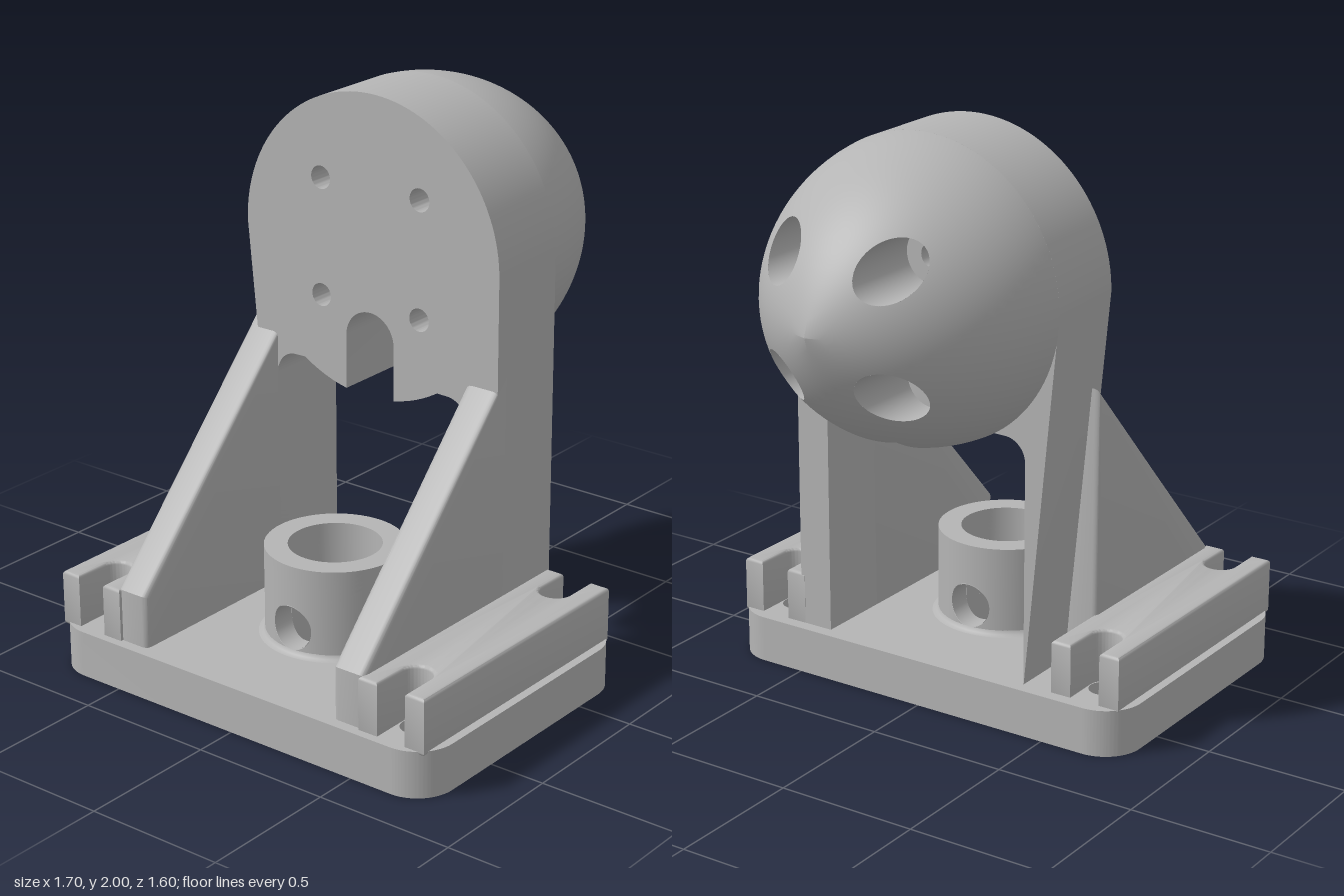
import * as THREE from 'three';
import { toCreasedNormals } from 'three/addons/utils/BufferGeometryUtils.js';

const R = 0.525, CY = 1.475;          // head radius and axis height
const HOLE = 0.205, BORE = 0.095, PIN = 0.04, FLOOR = 0.45;
const SLOT = 0.1, SLOT_Y = 1.15, SLOT_END = 0.5;
const PLATE = 0.165, COLLAR_X = -0.3;

// Nose profile: x for a distance r from the axis, and the reverse
const noseX = r => 0.15 + Math.sqrt(Math.max(0, 0.722 ** 2 - (r + 0.195) ** 2));
const noseR = x => Math.sqrt(0.722 ** 2 - (x - 0.15) ** 2) - 0.195;

export function createModel() {
  const group = new THREE.Group();
  const grey = new THREE.MeshStandardMaterial({ color: 0xb4b4b4, side: THREE.DoubleSide });
  grey.name = 'plain grey';

  const add = (name, geo, x = 0, y = 0, z = 0) => {
    const mesh = new THREE.Mesh(geo, grey);
    mesh.name = name;
    mesh.position.set(x, y, z);
    group.add(mesh);
    return mesh;
  };
  const extrude = (shape, depth, bevel = 0) => {
    const geo = new THREE.ExtrudeGeometry(shape, {
      depth: depth - 2 * bevel, curveSegments: 32, bevelEnabled: bevel > 0,
      bevelSize: bevel, bevelThickness: bevel, bevelOffset: -bevel, bevelSegments: 3 });
    geo.translate(0, 0, bevel);
    return toCreasedNormals(geo, 0.6);
  };
  const circle = (x, y, r) => new THREE.Path().absarc(x, y, r, 0, Math.PI * 2, true);

  // Surface between a round hole and a closed outline, placed by map(u, v)
  const holedPatch = (outline, cu, cv, r, rings, map) => {
    const pos = [], nor = [], idx = [], n = outline.length;
    for (let k = 0; k <= rings; k++) {
      const t = Math.sin(k / rings * Math.PI / 2);
      for (const [u, v] of outline) {
        const d = Math.hypot(u - cu, v - cv), s = (r + (d - r) * t) / d;
        const [x, y, z, a, b, c] = map(cu + (u - cu) * s, cv + (v - cv) * s);
        pos.push(x, y, z);
        nor.push(a, b, c);
      }
    }
    // Wind the faces to agree with the normals
    const p = i => new THREE.Vector3().fromArray(pos, i * 3);
    const face = p(1).sub(p(0)).cross(p(n).sub(p(0)));
    const flip = face.dot(new THREE.Vector3().fromArray(nor, 0)) < 0;
    for (let k = 0; k < rings; k++) for (let i = 0; i < n; i++) {
      const a = k * n + i, b = k * n + (i + 1) % n, c = a + n, d = b + n;
      if (flip) idx.push(a, c, b, b, c, d); else idx.push(a, b, c, b, d, c);
    }
    const geo = new THREE.BufferGeometry();
    geo.setAttribute('position', new THREE.Float32BufferAttribute(pos, 3));
    geo.setAttribute('normal', new THREE.Float32BufferAttribute(nor, 3));
    geo.setIndex(idx);
    return geo;
  };

  // Open tube along x whose two ends follow x0(y, z) and x1(y, z)
  const bore = (y, z, r, x0, x1) => {
    const geo = new THREE.CylinderGeometry(r, r, 1, 40, 1, true).rotateZ(Math.PI / 2).translate(0, y, z);
    const p = geo.attributes.position;
    for (let i = 0; i < p.count; i++) p.setX(i, (p.getX(i) < 0 ? x0 : x1)(p.getY(i), p.getZ(i)));
    return geo;
  };

  // Base plate with rounded corners, bolt holes and a central hole
  const [x0, x1, zh, c] = [-0.85, 0.25, 0.8, 0.14];
  const plate = new THREE.Shape();
  plate.absarc(x1 - c, zh - c, c, 0, Math.PI / 2);
  plate.absarc(x0 + c, zh - c, c, Math.PI / 2, Math.PI);
  plate.absarc(x0 + c, -zh + c, c, Math.PI, Math.PI * 1.5);
  plate.absarc(x1 - c, -zh + c, c, Math.PI * 1.5, Math.PI * 2);
  plate.holes.push(circle(COLLAR_X, 0, 0.16));
  for (const x of [-0.69, 0.08]) for (const z of [-0.64, 0.64]) plate.holes.push(circle(x, z, 0.052));
  add('basePlate', extrude(plate, PLATE).rotateX(-Math.PI / 2));

  for (const s of [-1, 1]) {
    // Clamp rail with an open slot at each end
    const rail = new THREE.Shape();
    rail.moveTo(-0.82, 0.51);
    rail.lineTo(0.205, 0.51);
    rail.lineTo(0.205, 0.585);
    rail.absarc(0.08, 0.64, 0.055, Math.PI * 1.5, Math.PI / 2, true);
    rail.lineTo(0.205, 0.695);
    rail.lineTo(0.205, 0.77);
    rail.lineTo(-0.82, 0.77);
    rail.lineTo(-0.82, 0.695);
    rail.absarc(-0.69, 0.64, 0.055, Math.PI / 2, -Math.PI / 2, true);
    rail.lineTo(-0.82, 0.585);
    const railGeo = extrude(rail, 0.2, 0.012).rotateX(Math.PI / 2).translate(0, 0.352, 0);
    add('clampRail', s > 0 ? railGeo : railGeo.rotateY(Math.PI).translate(-0.615, 0, 0));

    // Sloping brace behind each leg
    const brace = new THREE.Shape([[-0.81, 0.14], [-0.05, 0.14], [-0.05, 1.155], [-0.81, 0.352]]
      .map(q => new THREE.Vector2(...q)));
    add('brace', extrude(brace, 0.125, 0.02), 0, 0, s > 0 ? 0.4 : -0.525);
  }

  // Legs and round head slab in one arch-shaped profile
  const under = z => CY - Math.sqrt(R * R - z * z);
  const slab = new THREE.Shape();
  slab.moveTo(R, 0.15);
  slab.absarc(0, CY, R, 0, Math.PI);
  slab.lineTo(-R, 0.15);
  slab.lineTo(-0.4, 0.15);
  slab.absarc(-0.32, 0.95, 0.08, Math.PI, Math.PI / 2, true);
  for (let z = -0.28; z < -0.09; z += 0.03) slab.lineTo(z, under(z));
  slab.absarc(0, SLOT_Y, SLOT, Math.PI, 0, true);
  for (let z = 0.1; z < 0.29; z += 0.03) slab.lineTo(z, under(z));
  slab.absarc(0.32, 0.95, 0.08, Math.PI / 2, 0, true);
  slab.lineTo(0.4, 0.15);
  for (const y of [-HOLE, HOLE]) for (const z of [-HOLE, HOLE]) slab.holes.push(circle(z, CY + y, PIN));
  add('headAndLegs', extrude(slab, 0.314).rotateY(Math.PI / 2), -0.11);

  // Pointed nose in four quarters, each around a stepped screw hole
  const steps = [...Array(16).keys()].map(i => Math.sin(i / 16 * Math.PI / 2));
  const endR = noseR(SLOT_END);
  for (const sy of [-1, 1]) for (const sz of [-1, 1]) {
    const notched = sy < 0;
    const outline = steps.map(t => [R * t, 0]);
    const last = notched ? Math.acos(SLOT / R) : Math.PI / 2;
    for (let i = 0; i <= 24; i++) outline.push([R * Math.cos(last * i / 24), R * Math.sin(last * i / 24)]);
    if (notched) {
      const top = Math.sqrt(endR ** 2 - SLOT ** 2);
      for (let i = 1; i <= 6; i++) outline.push([SLOT, outline[40][1] + (top - outline[40][1]) * i / 6]);
      for (let i = 1; i <= 4; i++) {
        const u = SLOT * (1 - i / 4);
        outline.push([u, Math.sqrt(endR ** 2 - u * u)]);
      }
    }
    for (const t of steps.slice(1).reverse()) outline.push([0, (notched ? endR : R) * t]);
    const map = (u, v) => {
      const r = Math.hypot(u, v), x = noseX(r);
      const n = new THREE.Vector3(x - 0.15, sy * v / (r || 1) * (r + 0.195), sz * u / (r || 1) * (r + 0.195)).normalize();
      return [x, CY + sy * v, sz * u, n.x, n.y, n.z];
    };
    add('noseQuarter', holedPatch(outline, HOLE, HOLE, BORE, 18, map));
    const y = CY + sy * HOLE, z = sz * HOLE;
    add('counterbore', bore(y, z, BORE, () => FLOOR, (b, d) => noseX(Math.hypot(b - CY, d))));
    add('counterboreFloor', new THREE.RingGeometry(PIN, BORE, 40).rotateY(Math.PI / 2), FLOOR, y, z);
    add('screwHole', bore(y, z, PIN, () => 0.2, () => FLOOR));
  }

  // Lining of the blind slot under the nose
  const wall = new THREE.Shape();
  wall.moveTo(0.2, SLOT_Y);
  for (let i = 0; i <= 12; i++) {
    const x = 0.204 + (SLOT_END - 0.204) * i / 12;
    wall.lineTo(x, CY - Math.sqrt(noseR(x) ** 2 - SLOT ** 2));
  }
  wall.lineTo(SLOT_END, SLOT_Y);
  for (const s of [-1, 1]) add('slotWall', new THREE.ShapeGeometry(wall), 0, 0, s * SLOT);
  const roof = new THREE.CylinderGeometry(SLOT, SLOT, SLOT_END - 0.2, 24, 1, true, 0, Math.PI).rotateZ(Math.PI / 2);
  add('slotRoof', roof, (SLOT_END + 0.2) / 2, SLOT_Y);
  const end = new THREE.Shape();
  end.moveTo(-SLOT, CY - Math.sqrt(endR ** 2 - SLOT ** 2));
  end.lineTo(0, CY - endR);
  end.lineTo(SLOT, CY - Math.sqrt(endR ** 2 - SLOT ** 2));
  end.absarc(0, SLOT_Y, SLOT, 0, Math.PI);
  add('slotEnd', new THREE.ShapeGeometry(end, 24).rotateY(-Math.PI / 2), SLOT_END);

  // Collar with a cross hole through both sides
  const lo = 0.16, hi = 0.485, crossY = 0.26, crossR = 0.08;
  for (const side of [-1, 1]) {
    for (const [rad, out] of [[0.24, 1], [0.16, -1]]) {
      const w = rad * Math.PI / 2, outline = [];
      for (let i = 0; i < 32; i++) outline.push([-w + 2 * w * i / 32, lo]);
      for (let i = 0; i < 8; i++) outline.push([w, lo + (hi - lo) * i / 8]);
      for (let i = 0; i < 32; i++) outline.push([w - 2 * w * i / 32, hi]);
      for (let i = 0; i < 8; i++) outline.push([-w, hi - (hi - lo) * i / 8]);
      add('collarHalf', holedPatch(outline, 0, crossY, crossR, 12, (u, v) => {
        const nx = side * Math.cos(u / rad), nz = Math.sin(u / rad);
        return [COLLAR_X + rad * nx, v, rad * nz, out * nx, 0, out * nz];
      }));
    }
    const at = rad => (y, z) => COLLAR_X + side * Math.sqrt(rad * rad - z * z);
    const ends = side > 0 ? [at(0.16), at(0.24)] : [at(0.24), at(0.16)];
    add('crossHole', bore(crossY, 0, 0.078, ...ends));
  }
  add('collarRim', new THREE.RingGeometry(0.16, 0.24, 64).rotateX(-Math.PI / 2), COLLAR_X, hi);
  const flare = [[0.262, PLATE], [0.246, 0.17], [0.24, 0.183]].map(q => new THREE.Vector2(...q));
  add('collarFillet', new THREE.LatheGeometry(flare, 64), COLLAR_X);

  return group;
}
